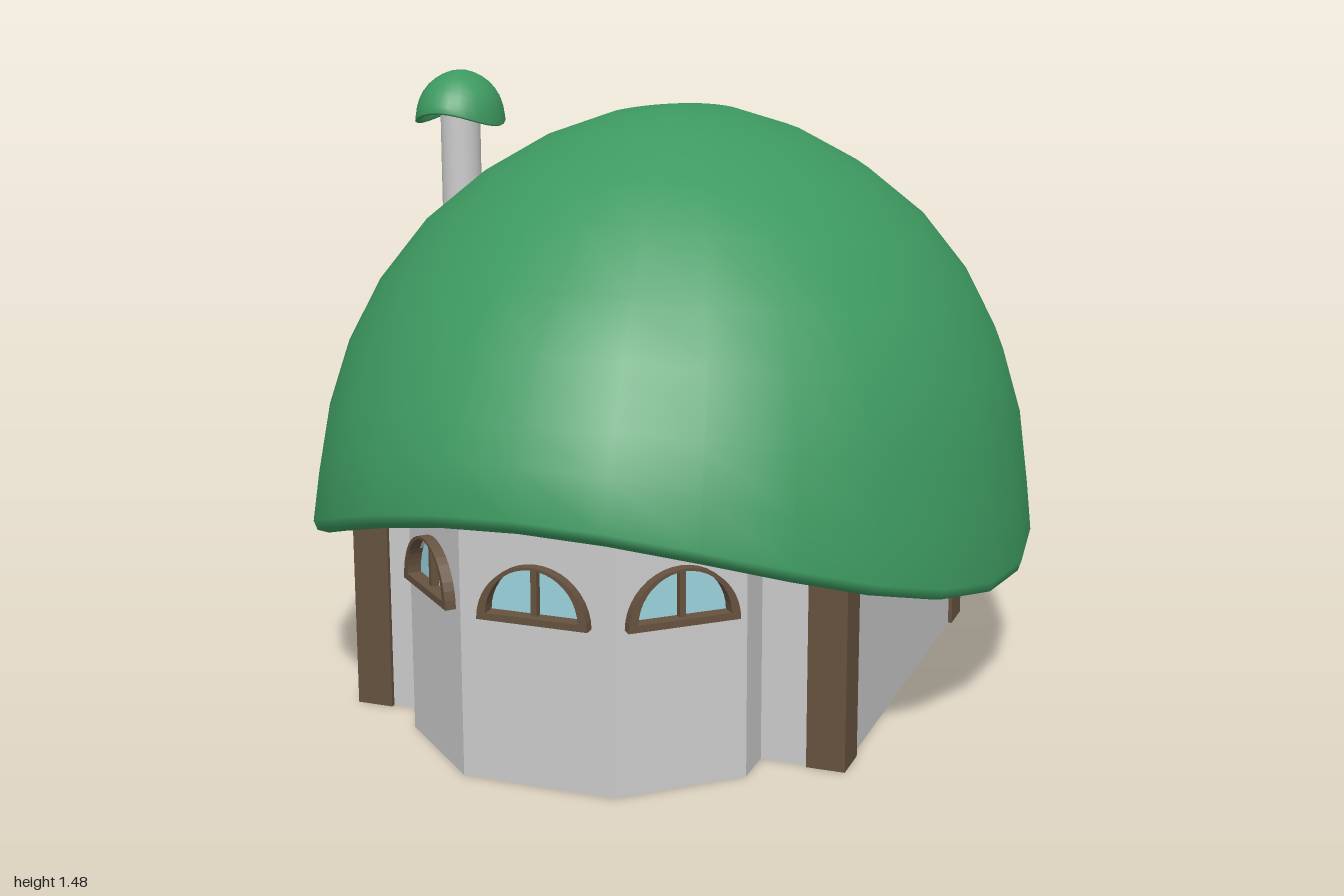
import * as THREE from 'three';
import { toCreasedNormals } from 'three/addons/utils/BufferGeometryUtils.js';

const material = (color) => new THREE.MeshStandardMaterial({ color, side: THREE.DoubleSide });
const stone = material(0xcccccc), wood = material(0x66523f), green = material(0x3d9960), glass = material(0x9cd3de);

function mesh(name, geometry, mat, x = 0, y = 0, z = 0) {
  const m = new THREE.Mesh(geometry, mat);
  m.name = name;
  m.position.set(x, y, z);
  return m;
}
const box = (name, w, h, d, mat, x, y, z) => mesh(name, new THREE.BoxGeometry(w, h, d), mat, x, y, z);
const extrude = (shape, depth) => new THREE.ExtrudeGeometry(shape, { depth, bevelEnabled: false, curveSegments: 10 });
const polygon = (pts) => new THREE.Shape(pts.map(([x, y]) => new THREE.Vector2(x, y)));

// Half-round outline standing on the line y
function arch(radius, x = 0, y = 0, Type = THREE.Shape) {
  const s = new Type();
  s.moveTo(x + radius, y);
  s.absarc(x, y, radius, 0, Math.PI, false);
  s.closePath();
  return s;
}

// Mushroom dome: rings of [radius x, height at sides, radius z, height at front and back]
function domeGeometry() {
  const outer = [
    [0.16, 1.392, 0.165, 1.4], [0.32, 1.335, 0.31, 1.36], [0.475, 1.245, 0.46, 1.29],
    [0.615, 1.125, 0.6, 1.205], [0.725, 0.98, 0.74, 1.07], [0.8, 0.82, 0.84, 0.965],
    [0.845, 0.66, 0.92, 0.83], [0.868, 0.47, 0.97, 0.75], [0.88, 0.35, 1, 0.64],
  ];
  const lip = [[0.872, 0.325, 0.99, 0.618], [0.845, 0.32, 0.965, 0.603], [0.815, 0.33, 0.935, 0.6], [0.795, 0.37, 0.915, 0.63]];
  const inner = outer.slice(0, 8).reverse().map(([a, b, c, d]) => [a * 0.92, b - 0.05, c * 0.92, d - 0.05]);
  const rings = [...outer, ...lip, ...inner];
  const n = 28, pos = [0, 1.412, 0], index = [];
  for (const [rx, yx, rz, yz] of rings) {
    for (let i = 0; i < n; i++) {
      const a = (i / n) * Math.PI * 2, c = Math.cos(a), s = Math.sin(a);
      pos.push(rx * c, yx * c * c + yz * s * s, rz * s);
    }
  }
  pos.push(0, 1.36, 0);
  const last = rings.length * n + 1;
  for (let i = 0; i < n; i++) {
    const j = (i + 1) % n;
    index.push(0, 1 + j, 1 + i);
    for (let r = 0; r < rings.length - 1; r++) {
      const a = 1 + r * n, b = a + n;
      index.push(a + i, a + j, b + i, a + j, b + j, b + i);
    }
    index.push(last, last - n + i, last - n + j);
  }
  const g = new THREE.BufferGeometry();
  g.setAttribute('position', new THREE.Float32BufferAttribute(pos, 3));
  g.setIndex(index);
  g.computeVertexNormals();
  return g;
}

// Half-round window with frame, glass and bars, facing +z
function archWindow(x, y) {
  const g = new THREE.Group();
  g.name = 'archWindow';
  g.position.set(x, y, 0);
  const ring = arch(0.13);
  ring.holes.push(arch(0.108, 0, 0.016, THREE.Path));
  g.add(mesh('windowFrame', extrude(ring, 0.055), wood, 0, 0, -0.03));
  g.add(mesh('windowGlass', new THREE.ShapeGeometry(arch(0.115, 0, 0.01), 10), glass, 0, 0, -0.008));
  g.add(box('windowBar', 0.014, 0.12, 0.02, wood, 0, 0.062, 0));
  return g;
}

// Wall panel between two plan points, its outer face to the left of travel seen from below
const T = 0.035;
function wall(name, [x1, z1], [x2, z2], outline, windows = []) {
  const dx = x2 - x1, dz = z2 - z1;
  const g = new THREE.Group();
  g.name = name;
  g.position.set((x1 + x2) / 2, 0, (z1 + z2) / 2);
  g.rotation.y = Math.atan2(-dz, dx);
  const shape = polygon(outline(Math.hypot(dx, dz) / 2));
  for (const [x, y] of windows) {
    shape.holes.push(arch(0.115, x, y + 0.005, THREE.Path));
    g.add(archWindow(x, y));
  }
  g.add(mesh(name + 'Panel', extrude(shape, T), stone, 0, 0, -T));
  return g;
}
const rect = (h) => (w) => [[-w, 0], [w, 0], [w, h], [-w, h]];
// Gable outline with an opening from a to b, of the given height
const gable = (a, b, h) => (w) => [[-w, 0], [a, 0], [a, h], [b, h], [b, 0], [w, 0], [w, 0.52], [0, 0.85], [-w, 0.52]];

export function createModel() {
  const model = new THREE.Group();
  model.name = 'mushroomHouse';
  const W = 0.6, D = 0.565;

  // Main walls and gable ceiling
  model.add(wall('frontWall', [-W, D], [W, D], gable(-0.41, 0.41, 0.6)));
  model.add(wall('backWall', [W, -D], [-W, -D], gable(0.01, 0.29, 0.42), [[-0.34, 0.37]]));
  model.add(wall('leftWall', [W, D], [W, -D], rect(0.52)));
  model.add(wall('rightWall', [-W, -D], [-W, D], rect(0.52)));
  const chevron = polygon([[-W, 0.5], [0, 0.83], [W, 0.5], [W, 0.52], [0, 0.85], [-W, 0.52]]);
  model.add(mesh('ceiling', extrude(chevron, 2 * D - 0.02), stone, 0, 0, -D + 0.01));

  // Corner posts
  for (const sx of [-1, 1]) {
    for (const sz of [-1, 1]) model.add(box('cornerPost', 0.09, 0.56, 0.1, wood, sx * 0.565, 0.28, sz * 0.526));
  }

  // Bay with three windows
  const bay = new THREE.Group();
  bay.name = 'bay';
  const plan = [[-0.41, D], [-0.41, 0.67], [-0.18, 0.88], [0.18, 0.88], [0.41, 0.67], [0.41, D]];
  for (let i = 0; i < 5; i++) {
    bay.add(wall('bayWall', plan[i], plan[i + 1], rect(0.62), i > 0 && i < 4 ? [[0, 0.38]] : []));
  }
  const bayTop = mesh('bayCeiling', extrude(polygon(plan), 0.02), stone, 0, 0.62, 0);
  bayTop.rotation.x = Math.PI / 2;
  bay.add(bayTop);
  model.add(bay);

  // Back door frame
  for (const x of [0.005, -0.305]) model.add(box('doorJamb', 0.035, 0.45, 0.07, wood, x, 0.225, -0.55));
  model.add(box('doorLintel', 0.345, 0.035, 0.07, wood, -0.15, 0.435, -0.55));

  // Round fireplace, hood and flue
  const lathe = (pts, ...args) =>
    toCreasedNormals(new THREE.LatheGeometry(pts.map(([x, y]) => new THREE.Vector2(x, y)), ...args), 0.6);
  const fire = new THREE.Group();
  fire.name = 'fireplace';
  fire.position.x = -0.525;
  fire.add(mesh('hearth', lathe([[0, 0], [0.205, 0], [0.205, 0.09], [0, 0.09]], 28), stone));
  fire.add(mesh('fireplaceBody', lathe([[0.203, 0.09], [0.203, 0.31]], 24, Math.PI / 2 + 0.6, Math.PI * 2 - 1.2), stone));
  const hood = lathe([[0.203, 0.31], [0.05, 0.47], [0.05, 1.39]], 24);
  const p = hood.attributes.position;
  for (let i = 0; i < p.count; i++) if (p.getY(i) > 0.4) p.setX(i, p.getX(i) - 0.06);
  fire.add(mesh('chimney', hood, stone));
  fire.add(box('mantel', 0.05, 0.035, 0.44, wood, 0.19, 0.31, 0));
  model.add(fire);

  // Dome roof and its small copy as chimney cap
  const dome = domeGeometry();
  model.add(mesh('roof', dome, green));
  const cap = mesh('chimneyCap', dome, green, -0.585, 1.302, 0);
  cap.scale.setScalar(0.126);
  model.add(cap);
  return model;
}
